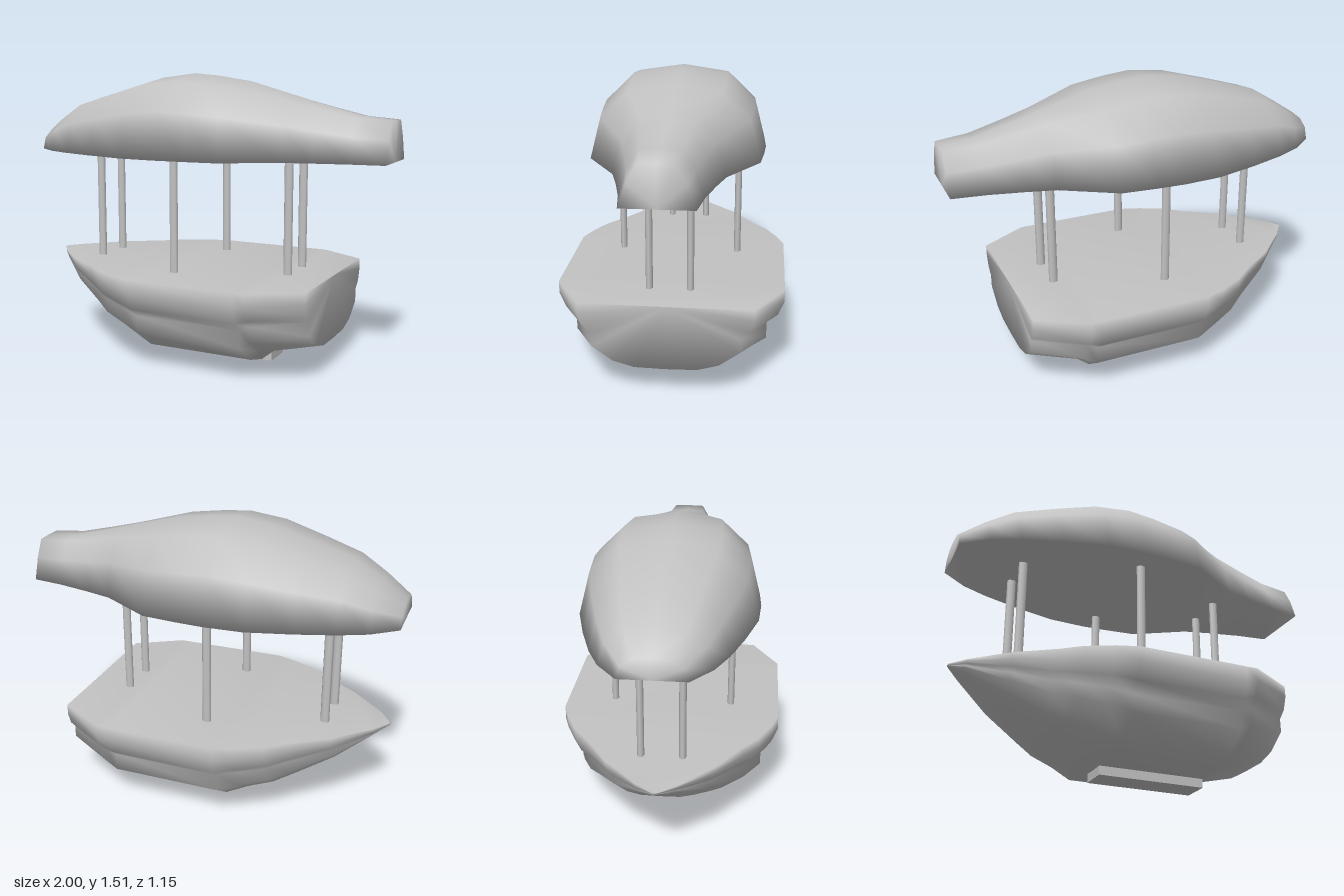
import * as THREE from 'three';

const grey = new THREE.MeshStandardMaterial({ color: 0xc2c2c2 });
grey.name = 'plain grey';

// Smooth closed body from mirrored half sections.
// stations: [x, half width, y of far edge]; profile(x): [width fraction, height fraction] from rim to centre line
function loft(name, stations, rimY, profile, flip) {
  const pos = [], idx = [];
  let n = 0;
  for (const [x, w, y] of stations) {
    const half = profile(x);
    let ring = [...half, ...half.slice(0, -1).reverse().map(([z, h]) => [-z, h])];
    if (flip) ring.reverse();
    n = ring.length;
    for (const [z, h] of ring) pos.push(x, rimY + h * (y - rimY), z * w);
  }
  const last = stations.length - 1;
  for (let i = 0; i < last; i++) {
    for (let j = 0; j < n; j++) {
      const k = (j + 1) % n;
      const a = i * n + j, b = i * n + k, c = b + n, d = a + n;
      idx.push(a, b, c, a, c, d);
    }
  }
  // End caps fan out from the middle of the rim
  const e = pos.length / 3;
  pos.push(stations[0][0], rimY, 0, stations[last][0], rimY, 0);
  for (let j = 0; j < n - 1; j++) {
    idx.push(e, j + 1, j, e + 1, last * n + j, last * n + j + 1);
  }
  const g = new THREE.BufferGeometry();
  g.setAttribute('position', new THREE.Float32BufferAttribute(pos, 3));
  g.setIndex(idx);
  g.computeVertexNormals();
  const mesh = new THREE.Mesh(g, grey);
  mesh.name = name;
  return mesh;
}

export function createModel() {
  const model = new THREE.Group();
  model.name = 'canopyBoat';

  // Hull with a flat deck and a knuckle along each side
  const hullSection = [[1, 0], [1, 0.17], [0.945, 0.36], [0.85, 0.47], [0.85, 0.68], [0.61, 0.9], [0.36, 0.99], [0, 1]];
  model.add(loft('hull', [
    [-0.97, 0.01, 0.475], [-0.9, 0.1, 0.43], [-0.72, 0.27, 0.3], [-0.53, 0.395, 0.19],
    [-0.43, 0.475, 0.14], [-0.3, 0.54, 0.1], [-0.19, 0.577, 0.045], [0.39, 0.577, 0.045],
    [0.45, 0.577, 0.1], [0.705, 0.43, 0.15],
  ], 0.487, () => hullSection, false));

  // Short keel block
  const keel = new THREE.Mesh(new THREE.BoxGeometry(0.58, 0.07, 0.16), grey);
  keel.name = 'keel';
  keel.position.set(0.1, 0.035, 0);
  model.add(keel);

  // Domed canopy, narrowing to a flat-topped tail
  model.add(loft('canopy', [
    [-1, 0.16, 1.19], [-0.87, 0.262, 1.275], [-0.73, 0.325, 1.36], [-0.53, 0.39, 1.42],
    [-0.3, 0.45, 1.485], [-0.1, 0.46, 1.51], [0.05, 0.452, 1.497], [0.23, 0.435, 1.47],
    [0.5, 0.275, 1.395], [0.65, 0.235, 1.353], [0.83, 0.195, 1.307], [1, 0.172, 1.29],
  ], 1.083, (x) => {
    const t = THREE.MathUtils.clamp((x - 0.3) / 0.7, 0, 1);
    return [[1, 0], [0.87 - 0.1 * t, 0.56], [0.54 - 0.06 * t, 0.91 + 0.08 * t], [0, 1]];
  }, true));

  // Three pairs of poles
  const poleShape = new THREE.CylinderGeometry(0.024, 0.024, 0.62, 8);
  poleShape.scale(1, 1, 0.75);
  for (const [x, z] of [[-0.645, 0.104], [-0.065, 0.318], [0.485, 0.104]]) {
    for (const side of [1, -1]) {
      const pole = new THREE.Mesh(poleShape, grey);
      pole.name = 'pole';
      pole.position.set(x, 0.785, z * side);
      model.add(pole);
    }
  }
  return model;
}
